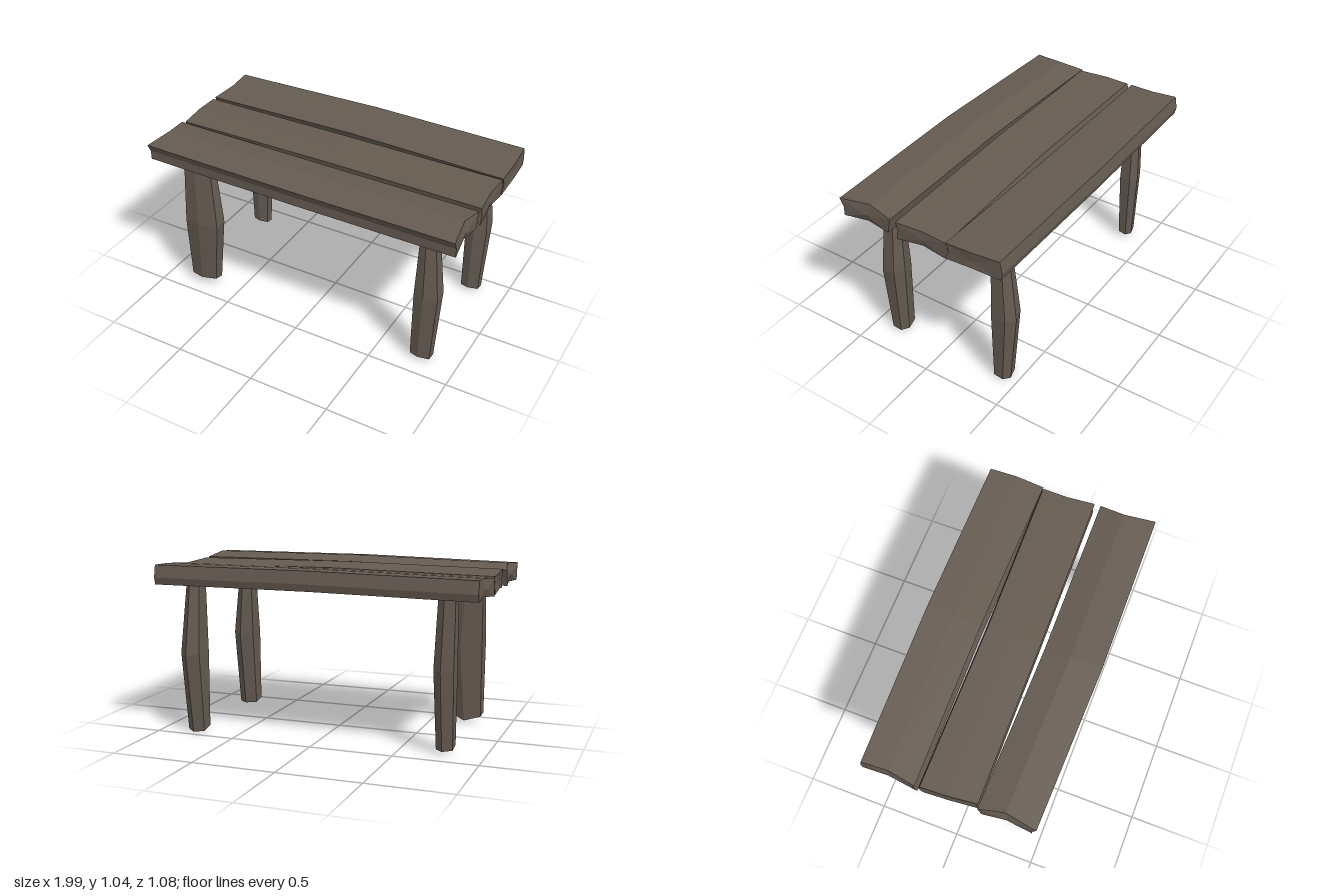
import * as THREE from 'three';

const wood = new THREE.MeshStandardMaterial({ color: 0x655b51, flatShading: true });
wood.name = 'weathered wood';

// Skins closed rings of points, counter-clockwise about the direction of travel, and caps both ends.
function loft(name, rings) {
  const pos = [];
  const tri = (...pts) => pts.forEach((p) => pos.push(...p));
  const n = rings[0].length;
  const centre = (r) => [0, 1, 2].map((k) => r.reduce((s, p) => s + p[k], 0) / n);
  const first = rings[0], last = rings[rings.length - 1];
  const c0 = centre(first), c1 = centre(last);
  for (let i = 0; i < n; i++) {
    const j = (i + 1) % n;
    for (let r = 0; r < rings.length - 1; r++) {
      const a = rings[r], b = rings[r + 1];
      tri(a[i], a[j], b[j]);
      tri(a[i], b[j], b[i]);
    }
    tri(c0, first[j], first[i]);
    tri(c1, last[i], last[j]);
  }
  const geo = new THREE.BufferGeometry();
  geo.setAttribute('position', new THREE.Float32BufferAttribute(pos, 3));
  geo.computeVertexNormals();
  const mesh = new THREE.Mesh(geo, wood);
  mesh.name = name;
  return mesh;
}

// Plank: profile of [u across from back to front, y]; stations of
// { x: [back, middle, front], z: [back, front], lift }.
function plank(name, profile, stations) {
  return loft(name, stations.map(({ x, z, lift = 0 }) => profile.map(([u, y]) => {
    const px = u < 0.3 ? x[0] : u > 0.7 ? x[2] : x[1];
    return [px, y + lift, z[0] + (z[1] - z[0]) * u];
  })));
}

// Leg: uneven six-sided post, each ring given as [x0, x1, z0, z1].
const LEG = [[0.45, 1], [1, 0.8], [1, 0.25], [0.6, 0], [0, 0.15], [0, 0.9]];
function leg(name, foot, belly, top, footY) {
  const ring = ([x0, x1, z0, z1], ys) => LEG.map(([u, v], i) =>
    [x0 + (x1 - x0) * u, ys[i % ys.length], z0 + (z1 - z0) * v]);
  return loft(name, [ring(foot, footY), ring(belly, [0.49, 0.48]), ring(top, [0.94])]);
}

export function createModel() {
  const table = new THREE.Group();
  table.name = 'plankTable';

  // Three rough boards, each with a slight ridge and uneven ends
  table.add(plank('frontPlank',
    [[0, 1.005], [0.45, 1.03], [1, 1.015], [0.93, 0.965], [0.93, 0.91], [0.5, 0.912], [0.06, 0.908], [0.03, 0.96]],
    [
      { x: [-0.99, -0.96, -0.99], z: [0.17, 0.51], lift: -0.006 },
      { x: [0, 0, 0], z: [0.19, 0.535], lift: 0.006 },
      { x: [0.985, 0.965, 0.995], z: [0.182, 0.525], lift: 0 },
    ]));
  table.add(plank('middlePlank',
    [[0.04, 1.005], [0.5, 1.01], [1, 1.01], [0.97, 0.965], [0.99, 0.9], [0.5, 0.918], [0.07, 0.9], [0, 0.955]],
    [
      { x: [-0.99, -0.985, -0.965], z: [-0.18, 0.165], lift: -0.005 },
      { x: [0, 0, 0], z: [-0.175, 0.16], lift: 0.004 },
      { x: [0.975, 0.97, 0.985], z: [-0.195, 0.145], lift: -0.008 },
    ]));
  table.add(plank('backPlank',
    [[0.04, 1.025], [0.5, 1.018], [0.98, 1.003], [0.93, 0.96], [1, 0.898], [0.5, 0.915], [0.03, 0.908], [0, 0.95]],
    [
      { x: [-0.98, -0.97, -0.995], z: [-0.53, -0.188], lift: -0.006 },
      { x: [0, 0, 0], z: [-0.545, -0.195], lift: 0.006 },
      { x: [0.975, 0.985, 0.98], z: [-0.535, -0.175], lift: 0.001 },
    ]));

  // Four hewn legs, swelling at the middle
  table.add(leg('frontRightLeg',
    [-0.82, -0.65, 0.31, 0.425], [-0.82, -0.6, 0.3, 0.445], [-0.82, -0.65, 0.3, 0.4],
    [0.055, 0.06, 0.045, 0.02, 0.05, 0.058]));
  table.add(leg('frontLeftLeg',
    [0.715, 0.835, 0.29, 0.395], [0.725, 0.865, 0.265, 0.415], [0.74, 0.82, 0.285, 0.385],
    [0.025, 0.018, 0.012, 0.008, 0.015, 0.03]));
  table.add(leg('backRightLeg',
    [-0.82, -0.72, -0.39, -0.3], [-0.82, -0.7, -0.41, -0.285], [-0.82, -0.72, -0.39, -0.295],
    [0.04, 0.035, 0.025, 0.02, 0.03, 0.045]));
  table.add(leg('backLeftLeg',
    [0.72, 0.83, -0.45, -0.345], [0.72, 0.85, -0.5, -0.335], [0.735, 0.82, -0.445, -0.33],
    [0.025, 0.02, 0.01, 0, 0.008, 0.025]));

  return table;
}
